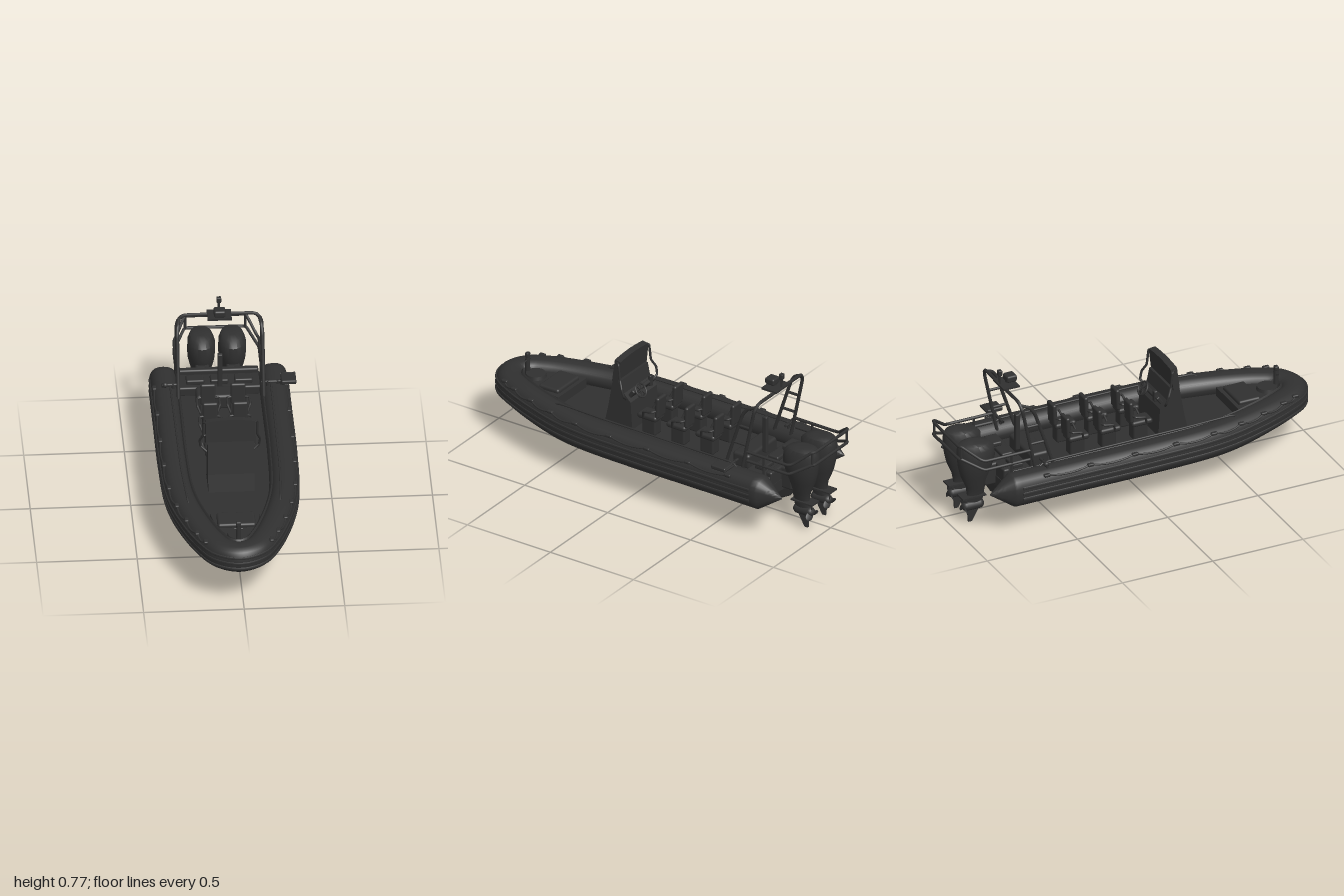
import * as THREE from 'three';
import { toCreasedNormals } from 'three/addons/utils/BufferGeometryUtils.js';
import { RoundedBoxGeometry } from 'three/addons/geometries/RoundedBoxGeometry.js';

const V = (x, y, z) => new THREE.Vector3(x, y, z);

export function createModel() {
  const root = new THREE.Group();
  const boat = new THREE.Group();
  boat.name = 'inflatableBoat';
  boat.position.x = -0.018;
  root.add(boat);

  const charcoal = new THREE.MeshStandardMaterial({ color: 0x303030, side: THREE.DoubleSide });
  charcoal.name = 'charcoal';

  const add = (name, geo, x = 0, y = 0, z = 0, parent = boat) => {
    const m = new THREE.Mesh(geo, charcoal);
    m.name = name;
    m.position.set(x, y, z);
    parent.add(m);
    return m;
  };
  const box = (w, h, d, r = 0) => r ? new RoundedBoxGeometry(w, h, d, 3, r) : new THREE.BoxGeometry(w, h, d);
  const rod = (name, pts, r, parent = boat) => {
    const curve = new THREE.CatmullRomCurve3(pts.map(p => V(...p)), false, 'catmullrom', 0.15);
    return add(name, new THREE.TubeGeometry(curve, pts.length * 8, r, 8), 0, 0, 0, parent);
  };
  // Side profile of [z, y] points extruded across x
  const sideExtrude = (pts, width) => {
    const s = new THREE.Shape(pts.map(p => new THREE.Vector2(...p)));
    return new THREE.ExtrudeGeometry(s, { depth: width, bevelEnabled: false }).rotateY(-Math.PI / 2).translate(width / 2, 0, 0);
  };
  // Skin over rings of equal point count, with closed ends
  const loft = (rings, crease = 0.7) => {
    const n = rings[0].length, pos = [], idx = [];
    rings.forEach(r => r.forEach(p => pos.push(...p)));
    for (let i = 0; i < rings.length - 1; i++)
      for (let j = 0; j < n; j++) {
        const a = i * n + j, b = i * n + (j + 1) % n;
        idx.push(a, b, a + n, b, b + n, a + n);
      }
    const e = (rings.length - 1) * n;
    for (let j = 1; j < n - 1; j++) idx.push(0, j + 1, j, e, e + j, e + j + 1);
    const g = new THREE.BufferGeometry();
    g.setAttribute('position', new THREE.Float32BufferAttribute(pos, 3));
    g.setIndex(idx);
    return toCreasedNormals(g, crease);
  };

  // Plan line of the buoyancy collar, stern to bow to stern
  const half = [[0.273, -0.88], [0.273, -0.82], [0.273, -0.76], [0.273, -0.4], [0.273, 0],
    [0.258, 0.35], [0.205, 0.6], [0.135, 0.8], [0.08, 0.89]];
  const plan = new THREE.CatmullRomCurve3([...half.map(([x, z]) => V(x, 0, z)), V(0, 0, 0.925),
    ...half.slice().reverse().map(([x, z]) => V(-x, 0, z))]);
  const rise = z => THREE.MathUtils.smoothstep(z, 0.4, 0.92);
  const sweep = (off, dy, rx, ry, zMin, sides, squareness = 1) => {
    const rings = [];
    for (let i = 0; i <= 144; i++) {
      const c = plan.getPoint(i / 144), t = plan.getTangent(i / 144);
      if (c.z < zMin) continue;
      const s = Math.max(0.03, Math.min(1, (c.z + 0.885) / 0.125));
      const ring = [];
      for (let j = 0; j < sides; j++) {
        const a = j / sides * Math.PI * 2, ca = Math.cos(a), sa = Math.sin(a);
        const o = off + s * rx * Math.sign(ca) * Math.abs(ca) ** squareness;
        const h = s * ry * (1 - 0.17 * rise(c.z)) * Math.sign(sa) * Math.abs(sa) ** squareness;
        ring.push([c.x + t.z * o, 0.245 + 0.02 * rise(c.z) + dy + h, c.z - t.x * o]);
      }
      rings.push(ring);
    }
    return loft(rings);
  };
  add('buoyancyCollar', sweep(0, 0, 0.07, 0.086, -1, 24, 0.8));
  add('innerGunwale', sweep(-0.064, 0.03, 0.012, 0.035, -0.74, 8));
  for (const dy of [-0.03, 0, 0.03]) add('rubbingStrake', sweep(0.068, dy, 0.006, 0.009, -0.74, 8));

  // V hull: [z, half width, chine height, keel height]
  const hull = [[-0.77, 0.25, 0.2, 0.18], [-0.745, 0.25, 0.168, 0.1], [0, 0.25, 0.168, 0.1], [0.35, 0.235, 0.17, 0.1],
    [0.6, 0.185, 0.175, 0.1], [0.75, 0.135, 0.182, 0.108], [0.87, 0.08, 0.195, 0.145], [0.95, 0.02, 0.22, 0.205]];
  add('hull', loft(hull.map(([z, w, c, k]) => [[-w, 0.25, z], [-w, c, z], [0, k, z], [w, c, z], [w, 0.25, z]]), 0.25));

  // Bow platform, hatches and mooring post
  const bowShape = new THREE.Shape();
  bowShape.moveTo(-0.125, -0.57);
  bowShape.lineTo(0.125, -0.57);
  bowShape.lineTo(0.085, -0.79);
  bowShape.quadraticCurveTo(0.05, -0.88, 0, -0.88);
  bowShape.quadraticCurveTo(-0.05, -0.88, -0.085, -0.79);
  const platform = new THREE.ExtrudeGeometry(bowShape, { depth: 0.05, bevelEnabled: false, curveSegments: 8 }).rotateX(-Math.PI / 2);
  add('bowPlatform', platform, 0, 0.25, 0);
  add('bowLocker', box(0.19, 0.03, 0.12, 0.012), 0, 0.305, 0.65);
  add('bowHatch', new THREE.CylinderGeometry(0.05, 0.055, 0.02, 24), 0, 0.308, 0.79);
  add('mooringPost', new THREE.CylinderGeometry(0.011, 0.014, 0.11, 12), 0, 0.355, 0.84);
  add('mooringPostCap', box(0.026, 0.025, 0.022, 0.006), 0, 0.405, 0.84);
  rod('mooringPin', [[-0.022, 0.375, 0.84], [0.022, 0.375, 0.84]], 0.005);

  // Steering console
  add('console', sideExtrude([[0.13, 0.25], [0.295, 0.25], [0.275, 0.34], [0.245, 0.51], [0.195, 0.51], [0.18, 0.44], [0.14, 0.4]], 0.23));
  const screen = new THREE.Shape();
  screen.moveTo(-0.125, 0);
  screen.lineTo(0.125, 0);
  screen.lineTo(0.122, 0.122);
  screen.quadraticCurveTo(0, 0.142, -0.122, 0.122);
  add('windscreen', new THREE.ExtrudeGeometry(screen, { depth: 0.035, bevelEnabled: false }), 0, 0.493, 0.21).rotation.x = -0.12;
  const dash = add('instrumentPanel', box(0.19, 0.07, 0.02, 0.006), 0, 0.425, 0.158);
  dash.rotation.x = -0.6;
  const wheel = new THREE.Group();
  wheel.name = 'steeringWheel';
  wheel.position.set(0.045, 0.445, 0.125);
  wheel.rotation.x = 0.6;
  boat.add(wheel);
  add('wheelRim', new THREE.TorusGeometry(0.036, 0.005, 8, 24), 0, 0, 0, wheel);
  for (let i = 0; i < 3; i++) add('wheelSpoke', box(0.07, 0.006, 0.005), 0, 0, 0, wheel).rotation.z = i * Math.PI / 3;
  rod('wheelColumn', [[0, 0, 0], [0, 0, 0.06]], 0.008, wheel);
  add('throttle', box(0.025, 0.06, 0.02, 0.006), -0.06, 0.45, 0.14);

  // Six seats in three rows
  const seat = (x, z) => {
    const g = new THREE.Group();
    g.name = 'seat';
    g.position.set(x, 0, z);
    boat.add(g);
    add('seatPedestal', box(0.06, 0.09, 0.08, 0.01), 0, 0.293, 0.01, g);
    add('seatCushion', box(0.085, 0.03, 0.115, 0.013), 0, 0.345, 0.015, g);
    add('seatBack', box(0.076, 0.115, 0.022, 0.01), 0, 0.412, -0.043, g).rotation.x = -0.05;
    for (const s of [-1, 1])
      rod('armrest', [[s * 0.03, 0.395, -0.04], [s * 0.055, 0.395, -0.03], [s * 0.056, 0.385, 0.02], [s * 0.04, 0.345, 0.035]], 0.006, g);
  };
  for (const z of [0.03, -0.145, -0.32]) for (const x of [-0.075, 0.075]) seat(x, z);

  // Stern bench, bulkhead and transom
  add('sternBench', box(0.25, 0.08, 0.1, 0.015), 0, 0.285, -0.53);
  add('sternDeck', box(0.41, 0.05, 0.15, 0.01), 0, 0.27, -0.685);
  add('transom', box(0.4, 0.14, 0.035, 0.01), 0, 0.25, -0.75);
  for (const x of [-0.12, 0, 0.12]) add('sternLocker', box(0.09, 0.025, 0.06, 0.008), x, 0.305, -0.67);
  add('sternPost', box(0.025, 0.2, 0.025, 0.006), 0.0, 0.4, -0.595);

  // Radar arch with rungs and beacon
  rod('archFrame', [[-0.212, 0.3, -0.6], [-0.212, 0.62, -0.667], [-0.207, 0.65, -0.673], [-0.19, 0.672, -0.678], [-0.16, 0.68, -0.68],
    [0.16, 0.68, -0.68], [0.19, 0.672, -0.678], [0.207, 0.65, -0.673], [0.212, 0.62, -0.667], [0.212, 0.3, -0.6]], 0.009);
  add('beaconPlate', box(0.12, 0.01, 0.09), 0, 0.689, -0.655);
  add('beaconStem', new THREE.CylinderGeometry(0.012, 0.016, 0.03, 12), 0, 0.705, -0.645);
  add('beaconHousing', box(0.058, 0.036, 0.055, 0.01), 0, 0.718, -0.635);
  rod('beaconMast', [[0, 0.69, -0.69], [0, 0.76, -0.692]], 0.006);
  add('beaconLamp', box(0.024, 0.03, 0.022, 0.005), 0, 0.756, -0.692);

  // Motor guard hoops across the stern
  for (const [y0, y1] of [[0.405, 0.48], [0.355, 0.41]])
    rod('motorGuard', [[-0.212, y0, -0.63], [-0.212, y0, -0.87], [-0.2, y0 + 0.01, -0.9], [-0.155, y1, -0.978], [-0.135, y1, -0.988],
      [0.135, y1, -0.988], [0.155, y1, -0.978], [0.2, y0 + 0.01, -0.9], [0.212, y0, -0.87], [0.212, y0, -0.63]], 0.008);

  // Fittings mirrored on both sides
  for (const s of [-1, 1]) {
    rod('archForeLeg', [[s * 0.212, 0.3, -0.5], [s * 0.212, 0.6, -0.6], [s * 0.208, 0.645, -0.63], [s * 0.2, 0.662, -0.674]], 0.009);
    for (const [y, a, b] of [[0.44, -0.547, -0.63], [0.54, -0.58, -0.65]])
      rod('archRung', [[s * 0.212, y, a], [s * 0.212, y, b]], 0.007);
    rod('guardStrut', [[s * 0.15, 0.41, -0.98], [s * 0.15, 0.48, -0.98]], 0.007);
    rod('guardPost', [[s * 0.212, 0.29, -0.73], [s * 0.212, 0.4, -0.73]], 0.007);
    rod('consoleRail', [[s * 0.118, 0.605, 0.22], [s * 0.133, 0.6, 0.2], [s * 0.135, 0.52, 0.19], [s * 0.15, 0.48, 0.17], [s * 0.145, 0.44, 0.16], [s * 0.112, 0.41, 0.17]], 0.006);
    rod('sideRail', [[s * 0.222, 0.31, 0.55], [s * 0.232, 0.34, 0.48], [s * 0.245, 0.343, 0.2], [s * 0.25, 0.343, -0.55], [s * 0.25, 0.32, -0.6]], 0.005);
    rod('sternFittingArm', [[s * 0.205, 0.343, -0.57], [s * 0.29, 0.343, -0.57]], 0.007);
    for (const x of [0.235, 0.285]) rod('sternFittingFoot', [[s * x, 0.31, -0.57], [s * x, 0.35, -0.57]], 0.007);
    // Grab rope in scallops with its anchors
    const rope = [];
    for (let i = 0; i <= 48; i++) {
      const c = plan.getPoint(0.14 + 0.27 * i / 48), t = plan.getTangent(0.14 + 0.27 * i / 48);
      const sag = 0.013 * Math.abs(Math.sin(i * Math.PI / 6));
      const p = [s * (c.x + t.z * (0.054 + sag * 0.5)), 0.312 + 0.01 * rise(c.z) - sag, c.z - t.x * (0.054 + sag * 0.5)];
      rope.push(p);
      if (i % 6 === 0) add('ropeAnchor', box(0.022, 0.016, 0.035, 0.006), ...p);
    }
    rod('grabRope', rope, 0.005);

    // Outboard motor
    const motor = new THREE.Group();
    motor.name = 'outboardMotor';
    motor.position.x = s * 0.077;
    boat.add(motor);
    const cowl = [[0.453, -0.885, 0.045, 0.035], [0.443, -0.875, 0.08, 0.056], [0.415, -0.865, 0.099, 0.068], [0.36, -0.862, 0.1, 0.07],
      [0.315, -0.866, 0.09, 0.066], [0.26, -0.87, 0.073, 0.053], [0.2, -0.865, 0.052, 0.035], [0.15, -0.865, 0.045, 0.022], [0.09, -0.875, 0.045, 0.016]];
    add('motorBody', loft(cowl.map(([y, z, rz, rx]) => Array.from({ length: 20 }, (_, j) => {
      const a = j / 20 * Math.PI * 2;
      return [rx * Math.cos(a), y, z + rz * Math.sin(a)];
    }))), 0, 0, 0, motor);
    add('motorBracket', box(0.07, 0.12, 0.08, 0.012), 0, 0.26, -0.79, motor);
    add('cavitationPlate', box(0.065, 0.008, 0.13), 0, 0.15, -0.885, motor);
    add('gearcase', new THREE.CapsuleGeometry(0.026, 0.07, 6, 16).rotateX(Math.PI / 2), 0, 0.095, -0.88, motor);
    add('skeg', sideExtrude([[-0.84, 0.085], [-0.91, 0.085], [-0.905, 0.004], [-0.885, 0.004]], 0.01), 0, 0, 0, motor);
    for (let i = 0; i < 3; i++) {
      const blade = add('propellerBlade', new THREE.SphereGeometry(1, 12, 8).scale(0.02, 0.026, 0.004).rotateY(0.6).translate(0, 0.026, 0), 0, 0.095, -0.927, motor);
      blade.rotation.z = i * Math.PI * 2 / 3;
    }
  }

  // Stern equipment: searchlight to the left, mount to the right
  add('searchlightMount', new THREE.CylinderGeometry(0.012, 0.016, 0.03, 12), 0.31, 0.345, -0.57);
  add('searchlight', box(0.075, 0.022, 0.085, 0.007), 0.338, 0.361, -0.565);
  rod('searchlightArm', [[0.28, 0.343, -0.57], [0.33, 0.348, -0.57]], 0.007);
  rod('searchlightBar', [[0.3, 0.363, -0.61], [0.375, 0.363, -0.61]], 0.006);
  add('mountBall', new THREE.SphereGeometry(0.014, 16, 10), -0.275, 0.343, -0.57);

  return root;
}
